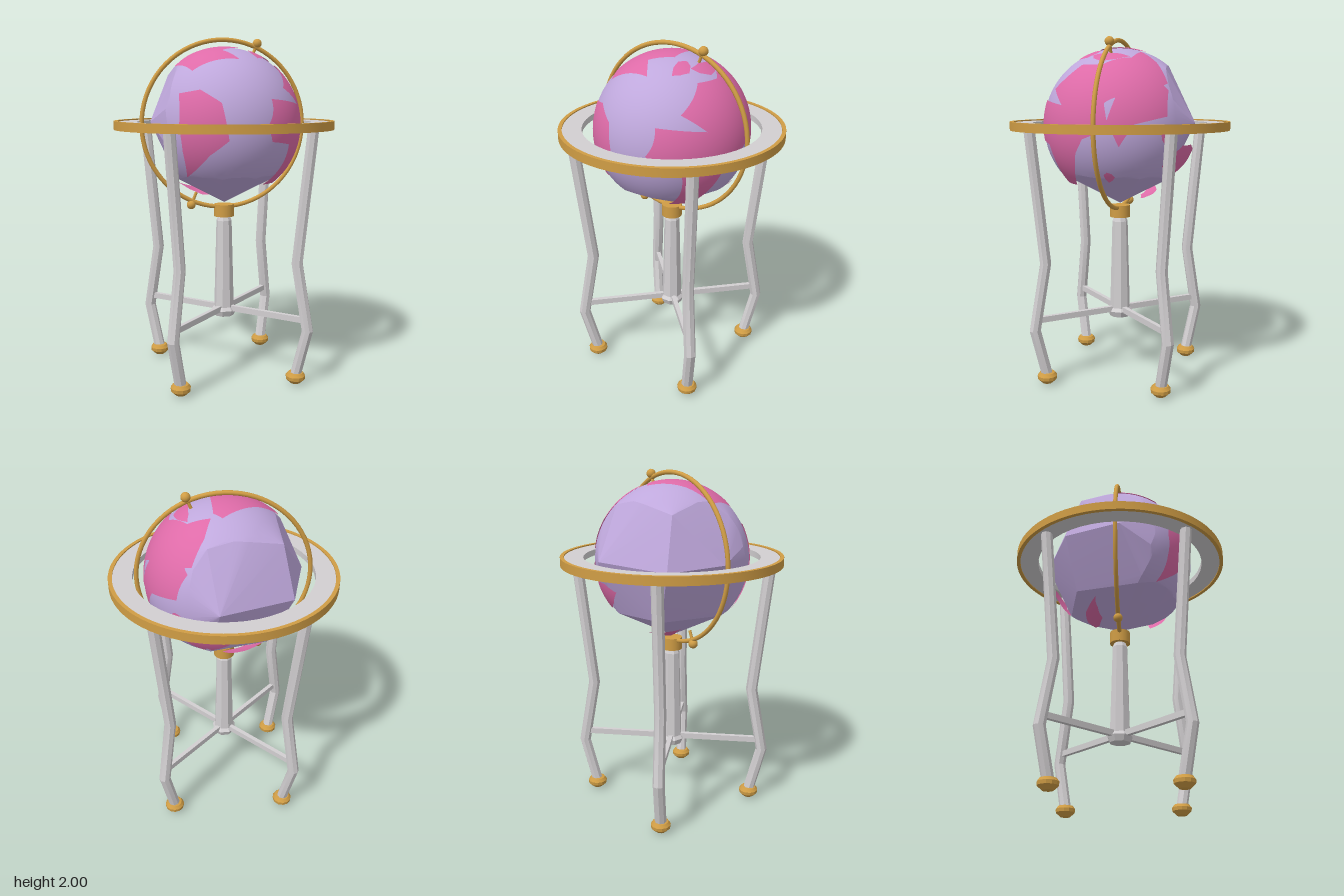
import * as THREE from 'three';
import { toCreasedNormals } from 'three/addons/utils/BufferGeometryUtils.js';
import { ConvexGeometry } from 'three/addons/geometries/ConvexGeometry.js';

const mat = (name, color, side = THREE.FrontSide) => {
  const m = new THREE.MeshStandardMaterial({ color, side });
  m.name = name;
  return m;
};
const CENTRE = 1.5, LAND_R = 0.448;

// Lays a flat outline, drawn as seen from direction dir, onto the sphere
function landPatch(dir, outline, hole) {
  const toVec = ([x, y]) => new THREE.Vector2(x, y);
  const shape = new THREE.Shape(outline.map(toVec));
  if (hole) shape.holes.push(new THREE.Path(hole.map(toVec)));
  const flat = new THREE.ShapeGeometry(shape).toNonIndexed().attributes.position;
  let tris = [];
  for (let i = 0; i < flat.count; i += 3) {
    tris.push([0, 1, 2].map((k) => new THREE.Vector3().fromBufferAttribute(flat, i + k)));
  }
  for (let level = 0; level < 4; level++) {
    tris = tris.flatMap(([a, b, c]) => {
      const ab = a.clone().lerp(b, 0.5), bc = b.clone().lerp(c, 0.5), ca = c.clone().lerp(a, 0.5);
      return [[a, ab, ca], [ab, b, bc], [ca, bc, c], [ab, bc, ca]];
    });
  }
  const eye = new THREE.Vector3(...dir);
  const up = eye.x === 0 && eye.z === 0 ? new THREE.Vector3(0, 0, -1) : new THREE.Vector3(0, 1, 0);
  const frame = new THREE.Matrix4().lookAt(eye, new THREE.Vector3(), up);
  const points = tris.flat().map((p) => {
    const z = Math.sqrt(Math.max(LAND_R * LAND_R - p.x * p.x - p.y * p.y, 0));
    return new THREE.Vector3(p.x, p.y, z).applyMatrix4(frame);
  });
  const g = new THREE.BufferGeometry().setFromPoints(points);
  g.setAttribute('normal', new THREE.BufferAttribute(
    new Float32Array(points.flatMap((p) => p.clone().normalize().toArray())), 3));
  return g;
}

// Uneven seven-sided island outline
const island = (x, y, rx, ry) => Array.from({ length: 7 }, (_, i) => {
  const a = (i / 7) * Math.PI * 2, k = 0.95 + 0.15 * Math.sin(3 * a + 1);
  return [x + rx * k * Math.cos(a), y + ry * k * Math.sin(a)];
});

// Faceted post following a path of [x, y, z] points, top to bottom
function post(path, radius) {
  const rows = path.length - 1;
  const g = new THREE.CylinderGeometry(1, 1, 1, 8, rows);
  const p = g.attributes.position;
  for (let i = 0; i < p.count; i++) {
    const [x, y, z] = path[Math.round((0.5 - p.getY(i)) * rows)];
    p.setXYZ(i, x + p.getX(i) * radius, y, z + p.getZ(i) * radius);
  }
  return toCreasedNormals(g, 0.3);
}

const lathe = (pts, segs, crease) =>
  toCreasedNormals(new THREE.LatheGeometry(pts.map(([x, y]) => new THREE.Vector2(x, y)), segs), crease);

export function createModel() {
  const root = new THREE.Group();
  const gold = mat('gold', 0xd09d45);
  const grey = mat('pale grey', 0xd2cfd1);
  const ocean = mat('lavender', 0xbfa8dc);
  const land = mat('pink', 0xde6ba8, THREE.DoubleSide);
  const add = (name, geometry, material, parent = root) => {
    const m = new THREE.Mesh(geometry, material);
    m.name = name;
    parent.add(m);
    return m;
  };

  const globe = new THREE.Group();
  globe.name = 'globe';
  globe.position.y = CENTRE;
  root.add(globe);

  // Ocean ball: round on one side, big flat facets on the back and underside
  const ico = new THREE.IcosahedronGeometry(0.443, 12).attributes.position;
  const seen = new Set();
  const pts = [];
  for (let i = 0; i < ico.count; i++) {
    const v = new THREE.Vector3().fromBufferAttribute(ico, i);
    const key = v.toArray().map((n) => Math.round(n * 1e4)).join();
    if (seen.has(key)) continue;
    seen.add(key);
    const round = (v.x + v.z) * Math.SQRT1_2 > -0.13 && v.y > -0.29;
    if (round || v.y > 0.33) pts.push(v);
  }
  const corners = [
    [0.06, 0.02, -0.46], [-0.35, 0, -0.3], [-0.44, 0.02, 0.02], [-0.29, 0.29, -0.22],
    [0.11, 0.32, -0.3], [-0.26, 0.32, 0.15], [0, -0.46, 0],
    [-0.3, -0.3, 0.12], [-0.22, -0.3, -0.24], [0.1, -0.3, -0.31],
  ];
  corners.forEach((c) => pts.push(new THREE.Vector3(...c)));
  add('ocean', toCreasedNormals(new ConvexGeometry(pts), 0.2), ocean, globe);

  // Continents
  const front = [0, 0, 1], side = [1, 0, 0], top = [0, 1, 0], backLow = [0.65, -0.4, -0.65];
  const addLand = (name, dir, outline, hole) => add(name, landPatch(dir, outline, hole), land, globe);
  addLand('southWestContinent', front, [[-.32, .18], [-.22, .2], [-.12, .13], [-.085, -.07],
    [-.18, -.15], [-.27, -.28], [-.31, -.13], [-.33, 0]]);
  addLand('northWestContinent', top, [[-.3, -.04], [-.17, .03], [.02, .16], [.065, .12],
    [.07, -.08], [-.05, -.15], [.02, -.26], [-.24, -.23]]);
  addLand('northEastContinent', top, [[.08, .15], [.12, .25], [.19, .33], [.35, .26],
    [.43, .03], [.3, -.02], [.2, .13]]);
  addLand('eastContinent', side, [[-.43, 0], [-.39, .15], [-.22, .12], [-.3, .21], [-.14, .34],
    [.2, .34], [.34, .2], [.35, .06], [.2, .02], [.12, -.1], [.08, 0], [-.08, -.06],
    [-.13, -.14], [-.18, -.33], [-.26, -.33], [-.33, -.1], [-.41, -.08]],
  [[.03, .18], [.11, .2], [.06, .04]]);
  addLand('southEastContinent', backLow, island(.21, -.02, .12, .09));
  addLand('southContinent', backLow, island(.17, -.355, .09, .035));

  // Islands
  addLand('northIsland', top, island(.15, -.13, .045, .07));
  addLand('northCoast', side, island(0, .385, .11, .025));
  addLand('smallIsland', side, island(.045, -.27, .03, .03));
  addLand('eastIsland', side, island(.335, -.23, .025, .04));
  addLand('backIsland', backLow, island(.05, .13, .04, .035));

  // Meridian ring with a pin and knob at each pole
  add('meridianRing', new THREE.TorusGeometry(0.487, 0.013, 10, 72), gold, globe);
  const axis = new THREE.Group();
  axis.name = 'axis';
  axis.rotation.z = -0.404;
  globe.add(axis);
  for (const s of [1, -1]) {
    add('axisPin', new THREE.CylinderGeometry(0.009, 0.009, 0.08, 8), gold, axis).position.y = s * 0.47;
    add('axisKnob', new THREE.SphereGeometry(0.027, 14, 10), gold, axis).position.y = s * 0.51;
  }

  // Horizon ring: flat grey band inside a gold rim
  add('horizonBand', lathe([[0.51, 1.482], [0.622, 1.482], [0.622, 1.518], [0.51, 1.518], [0.51, 1.482]], 48, 0.5), grey);
  add('horizonRim', lathe([[0.62, 1.475], [0.642, 1.475], [0.642, 1.525], [0.62, 1.525], [0.62, 1.475]], 72, 0.5), gold);

  // Four bent legs with feet and stretchers
  for (const sx of [1, -1]) {
    for (const sz of [1, -1]) {
      const path = [[0.402, 1.485], [0.342, 0.72], [0.392, 0.33], [0.342, 0.05]].map(([d, y]) => [sx * d, y, sz * d]);
      add('leg', post(path, 0.034), grey);
      const foot = add('foot', lathe([[0, 0], [0.03, 0.006], [0.056, 0.03], [0.058, 0.05], [0.045, 0.068], [0, 0.076]], 12, 0.5), gold);
      foot.position.set(sx * 0.342, 0, sz * 0.342);
      const bar = add('stretcher', new THREE.BoxGeometry(0.54, 0.034, 0.026), grey);
      bar.position.set(sx * 0.192, 0.392, sz * 0.192);
      bar.rotation.y = -Math.atan2(sz, sx);
    }
  }

  // Central column and its gold collar
  add('column', lathe([[0, 0.345], [0.06, 0.345], [0.075, 0.38], [0.06, 0.4], [0.046, 0.93], [0.032, 0.965]], 8, 0.3), grey)
    .rotation.y = Math.PI / 8;
  add('collar', new THREE.CylinderGeometry(0.06, 0.06, 0.072, 20), gold).position.y = 0.992;

  return root;
}
